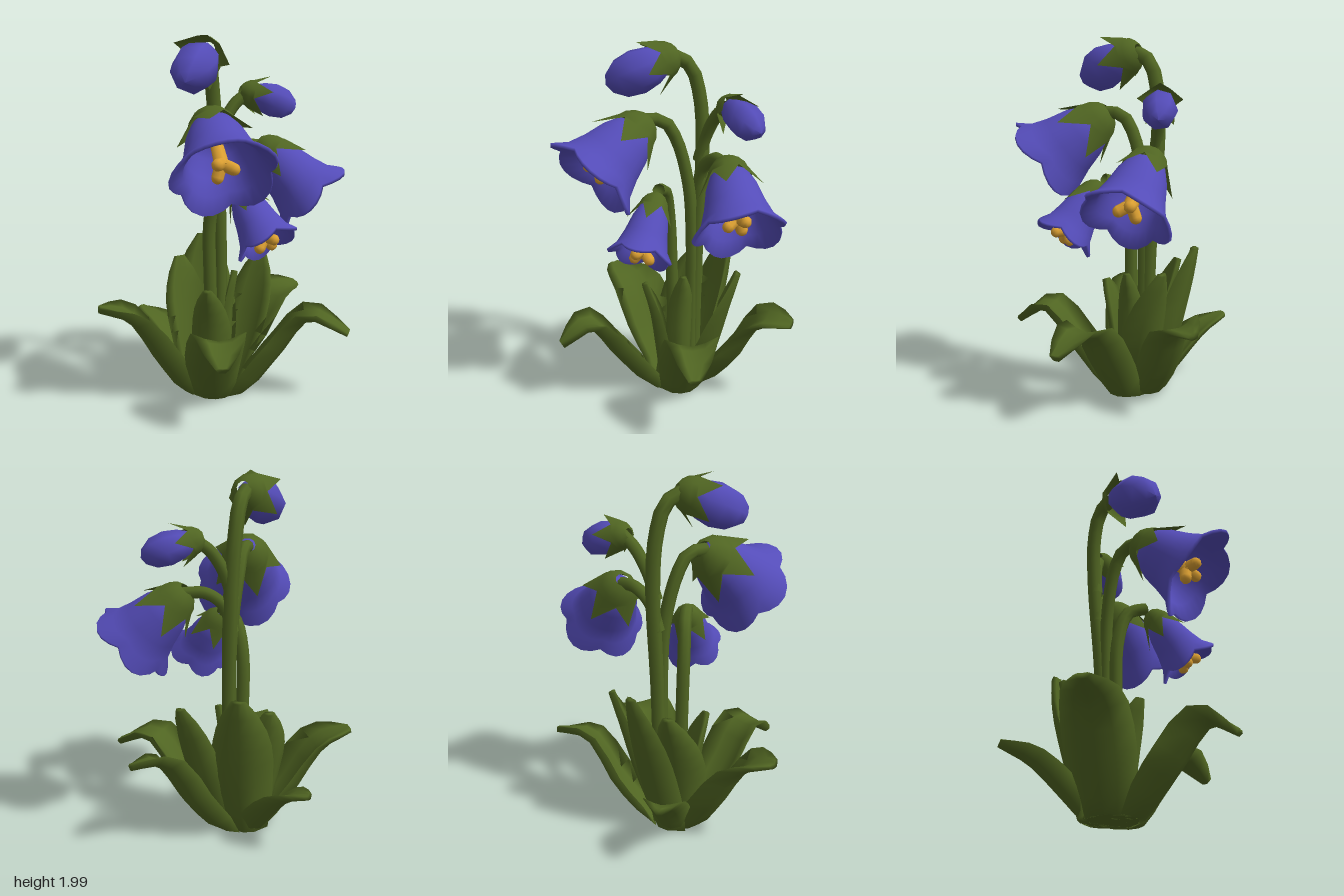
import * as THREE from 'three';

const green = new THREE.MeshStandardMaterial({ color: 0x506522, side: THREE.DoubleSide });
green.name = 'leafGreen';
const violet = new THREE.MeshStandardMaterial({ color: 0x544cb8, side: THREE.DoubleSide });
violet.name = 'petalViolet';
const gold = new THREE.MeshStandardMaterial({ color: 0xdca032 });
gold.name = 'stamenGold';

const V = (p) => new THREE.Vector3(...p);
const UP = new THREE.Vector3(0, 1, 0);

// Skin a list of closed rings (arrays of Vector3)
function loft(rings) {
  const n = rings[0].length, pos = [], idx = [];
  rings.forEach((ring) => ring.forEach((v) => pos.push(v.x, v.y, v.z)));
  for (let j = 0; j < rings.length - 1; j++) {
    for (let i = 0; i < n; i++) {
      const k = (i + 1) % n, a = j * n + i, b = j * n + k;
      idx.push(a, a + n, b, b, a + n, b + n);
    }
  }
  const g = new THREE.BufferGeometry();
  g.setAttribute('position', new THREE.Float32BufferAttribute(pos, 3));
  g.setIndex(idx);
  g.computeVertexNormals();
  return g;
}

// Rings around +y; shape(theta, ringIndex) gives [radius, height]
function radial(sides, count, shape) {
  return loft(Array.from({ length: count }, (_, j) => Array.from({ length: sides }, (_, i) => {
    const a = (i / sides) * Math.PI * 2, [r, y] = shape(a, j);
    return new THREE.Vector3(r * Math.cos(a), y, r * Math.sin(a));
  })));
}

function add(parent, name, geometry, material) {
  const m = new THREE.Mesh(geometry, material);
  m.name = name;
  parent.add(m);
  return m;
}

// Cupped leaf swept along a curve, lens-shaped in section, rolled about its length
function leafGeometry(points, half, roll) {
  const curve = new THREE.CatmullRomCurve3(points.map(V));
  const d = V(points[3]).sub(V(points[0])).setY(0).normalize();
  const level = d.clone().cross(UP);
  const widths = [0.72, 0.88, 0.98, 1.03, 1.03, 0.96, 0.82, 0.59, 0.24];
  const section = [[1, 0], [0.5, 1], [0, 1], [-0.5, 1], [-1, 0], [-0.5, -1], [0, -1], [0.5, -1]];
  const rings = widths.map((f, j) => {
    const t = j / (widths.length - 1), c = curve.getPoint(t), w = half * f;
    const tangent = curve.getTangent(t);
    const side = level.clone().applyAxisAngle(tangent, roll * t);
    const normal = side.clone().cross(tangent);
    return section.map(([s, k]) => c.clone().addScaledVector(side, s * w)
      .addScaledVector(normal, 0.72 * w * (s * s - 0.35) * (1 - 0.6 * t) + k * 0.018));
  });
  rings[0].forEach((v) => { v.y = 0; });
  const cap = (ring) => {
    const c = ring.reduce((s, v) => s.add(v), new THREE.Vector3()).divideScalar(ring.length);
    return ring.map(() => c.clone());
  };
  return loft([cap(rings[0]), ...rings, cap(rings[rings.length - 1])]);
}

// Five-lobed bell: out along the outside, back along the inside
function bellGeometry(R, L) {
  const profile = [[0, 0, 0], [0.25, 0, 0], [0.45, 0.09, 0], [0.59, 0.3, 0], [0.7, 0.6, 0.1], [0.82, 0.84, 0.5], [1.02, 1, 1],
    [0.97, 1.04, 1], [0.76, 0.87, 0.5], [0.65, 0.62, 0.1], [0.53, 0.32, 0], [0.3, 0.16, 0], [0, 0.12, 0]];
  return radial(30, profile.length, (a, j) => {
    const [r, y, w] = profile[j], lobe = 2 * Math.abs(Math.cos(2.5 * a)) - 1;
    return [R * r * (1 + 0.07 * w * lobe), L * (y + 0.06 * w * lobe)];
  });
}

// Cap with five pointed sepals that flare outward
function calyxGeometry(R, L) {
  const profile = [[0.35, -0.5], [0.65, -0.36], [0.92, -0.1], [1.02, 0.12]];
  return radial(10, 5, (a, j) => {
    if (j < 4) return [R * profile[j][0], L * profile[j][1]];
    return Math.cos(5 * a) > 0 ? [R * 1.65, L] : [R * 1.08, L * 0.18];
  });
}

// Closed bud, faceted like folded petals
function budGeometry(R, L) {
  const profile = [[0, 0], [0.5, 0.02], [0.85, 0.25], [1, 0.5], [0.87, 0.76], [0.45, 0.94], [0, 1]];
  return radial(7, profile.length, (a, j) => [R * profile[j][0], L * profile[j][1]]);
}

// Thick pistil whose tip splits into three spreading stigma lobes
function stamen(parent, L) {
  const g = new THREE.Group();
  g.name = 'stamen';
  add(g, 'pistil', new THREE.CylinderGeometry(L * 0.11, L * 0.085, L * 0.75, 8), gold).position.y = L * 0.48;
  for (let i = 0; i < 3; i++) {
    const a = (i / 3) * Math.PI * 2 + 0.5, out = new THREE.Vector3(Math.cos(a), 0.9, Math.sin(a)).normalize();
    const lobe = add(g, 'stigmaLobe', new THREE.CapsuleGeometry(L * 0.09, L * 0.12, 4, 8), gold);
    lobe.quaternion.setFromUnitVectors(UP, out);
    lobe.position.copy(out).multiplyScalar(L * 0.14).setY(L * 0.86);
  }
  parent.add(g);
}

// Flower head group pointing from base to end
function head(root, name, base, end) {
  const g = new THREE.Group(), dir = V(end).sub(V(base));
  g.name = name;
  g.position.copy(V(base));
  g.quaternion.setFromUnitVectors(UP, dir.clone().normalize());
  root.add(g);
  return [g, dir.length()];
}

export function createModel() {
  const root = new THREE.Group();
  root.name = 'bellflowerPlant';

  // Solid crown where the leaves meet
  add(root, 'crown', new THREE.CylinderGeometry(0.12, 0.14, 0.12, 12), green).position.set(-0.05, 0.06, -0.05);

  // Leaves: centre line, half width and roll
  const leaves = [
    ['backLeaf', [[-0.05, 0, -0.17], [-0.03, 0.14, -0.29], [-0.02, 0.3, -0.47], [-0.02, 0.36, -0.64]], 0.12, 0],
    ['backRightLeaf', [[-0.15, 0, -0.12], [-0.29, 0.23, -0.2], [-0.44, 0.47, -0.29], [-0.6, 0.53, -0.38]], 0.18, 0],
    ['leftLeaf', [[0.07, 0, -0.07], [0.27, 0.22, -0.04], [0.45, 0.48, 0], [0.64, 0.49, 0.02]], 0.14, 0.35],
    ['frontLeftLeaf', [[0.02, 0, 0.09], [0.12, 0.25, 0.25], [0.21, 0.47, 0.42], [0.3, 0.38, 0.63]], 0.15, 0],
    ['frontRightLeaf', [[-0.15, 0, 0.05], [-0.31, 0.25, 0.18], [-0.43, 0.46, 0.32], [-0.55, 0.36, 0.44]], 0.15, 0],
    ['uprightLeftLeaf', [[0.05, 0, -0.01], [0.16, 0.28, 0.01], [0.24, 0.52, 0.02], [0.32, 0.74, 0.01]], 0.14, 0.3],
    ['uprightBackLeaf', [[0, 0, -0.16], [0.07, 0.3, -0.2], [0.12, 0.58, -0.26], [0.17, 0.83, -0.3]], 0.17, 0],
    ['innerBackLeaf', [[-0.08, 0, -0.15], [-0.08, 0.3, -0.2], [-0.07, 0.52, -0.26], [-0.03, 0.73, -0.32]], 0.14, 0],
    ['innerRightLeaf', [[-0.1, 0, 0], [-0.13, 0.25, 0], [-0.16, 0.45, 0.02], [-0.21, 0.62, 0.05]], 0.11, 0],
    ['innerFrontLeaf', [[-0.02, 0, 0], [-0.01, 0.25, 0.01], [0, 0.5, 0.02], [0.02, 0.69, 0.05]], 0.08, 0],
  ];
  leaves.forEach(([name, pts, half, roll]) => add(root, name, leafGeometry(pts, half, roll), green));

  // Stems: path and radius
  const stems = [
    ['mainStem', [[0.03, 0, -0.08], [0.05, 0.8, -0.08], [0.07, 1.4, -0.12], [0.05, 1.68, -0.13], [0, 1.85, -0.11], [-0.08, 1.9, -0.07]], 0.04],
    ['rightBellStem', [[0.02, 0, -0.05], [0.03, 0.9, -0.06], [0.01, 1.2, -0.06], [-0.05, 1.45, -0.04], [-0.11, 1.56, 0], [-0.2, 1.57, 0.06]], 0.036],
    ['leftBellStem', [[0.04, 1.15, -0.1], [0.09, 1.3, -0.08], [0.17, 1.37, -0.03], [0.26, 1.37, 0.05]], 0.034],
    ['leftBudStem', [[0.05, 1.33, -0.11], [0.1, 1.48, -0.1], [0.17, 1.6, -0.07], [0.24, 1.66, -0.03]], 0.034],
    ['smallBellStem', [[-0.07, 0, -0.03], [-0.08, 0.6, -0.04], [-0.09, 1, -0.03], [-0.09, 1.17, 0.03], [-0.09, 1.21, 0.13]], 0.036],
  ];
  stems.forEach(([name, pts, r]) => add(root, name,
    new THREE.TubeGeometry(new THREE.CatmullRomCurve3(pts.map(V)), 24, r, 8), green));

  // Open bells: base, mouth centre, lip radius, calyx length, stamen reach
  const bells = [
    ['rightBell', [-0.22, 1.53, 0.09], [-0.39, 1.3, 0.32], 0.262, 0.16, 1],
    ['leftBell', [0.28, 1.34, 0.07], [0.415, 1.085, 0.285], 0.232, 0.15, 1],
    ['smallBell', [-0.09, 1.15, 0.19], [-0.1, 0.92, 0.37], 0.165, 0.12, 1.15],
  ];
  bells.forEach(([name, base, end, R, calyx, reach]) => {
    const [g, L] = head(root, name, base, end);
    add(g, 'bellPetals', bellGeometry(R, L), violet);
    add(g, 'calyx', calyxGeometry(R * 0.48, calyx), green);
    stamen(g, L * reach);
  });

  // Closed buds: base, tip, radius, calyx length
  const buds = [
    ['topBud', [-0.1, 1.89, -0.05], [-0.41, 1.75, 0.08], 0.125, 0.12],
    ['leftBud', [0.24, 1.66, -0.03], [0.47, 1.57, 0.13], 0.095, 0.1],
  ];
  buds.forEach(([name, base, end, R, calyx]) => {
    const [g, L] = head(root, name, base, end);
    add(g, 'budPetals', budGeometry(R, L), violet);
    add(g, 'calyx', calyxGeometry(R * 0.8, calyx), green);
  });
  return root;
}
